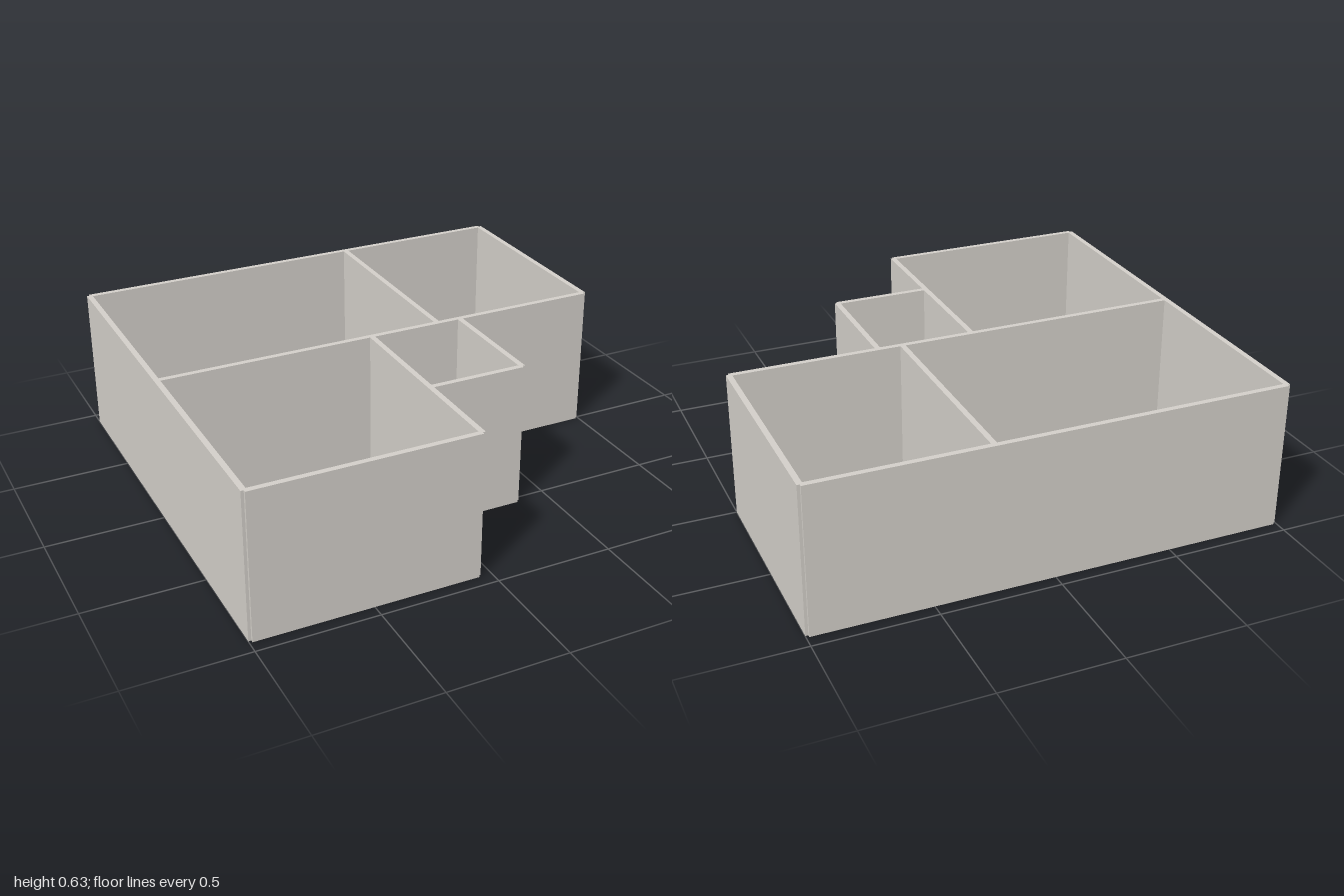
import * as THREE from 'three';

const HEIGHT = 0.627;
const WALL = 0.0235;
const FLOOR = 0.004;

// Wall centre lines of the plan
const X = { left: -0.988, hall: -0.055, divider: 0.257, porch: 0.361, right: 0.988 };
const Z = { back: -0.934, middle: 0, porch: 0.522, front: 0.934 };

function addBox(group, name, material, x0, x1, y0, y1, z0, z1) {
  const mesh = new THREE.Mesh(new THREE.BoxGeometry(x1 - x0, y1 - y0, z1 - z0), material);
  mesh.position.set((x0 + x1) / 2, (y0 + y1) / 2, (z0 + z1) / 2);
  mesh.name = name;
  group.add(mesh);
}

export function createModel() {
  const model = new THREE.Group();
  model.name = 'floorPlan';
  const h = WALL / 2;
  const wallMaterial = new THREE.MeshStandardMaterial({ color: 0xd3cfc9 });

  // Walls running along x; they end on the centre lines, leaving notched corners
  const wallsX = [
    ['backWall', X.left, X.right, Z.back],
    ['middleWall', X.left, X.right, Z.middle],
    ['smallRoomFrontWall', X.hall, X.porch, Z.porch],
    ['frontWall', X.left, X.hall, Z.front],
  ];
  for (const [name, x0, x1, z] of wallsX) {
    addBox(model, name, wallMaterial, x0, x1, 0, HEIGHT, z - h, z + h);
  }

  // Walls running along z
  const wallsZ = [
    ['outerLongWall', X.left, Z.back, Z.front],
    ['backRoomDivider', X.divider, Z.back, Z.middle],
    ['backRoomEndWall', X.right, Z.back, Z.middle],
    ['frontRoomSideWall', X.hall, Z.middle, Z.front],
    ['smallRoomSideWall', X.porch, Z.middle, Z.porch],
  ];
  for (const [name, x, z0, z1] of wallsZ) {
    addBox(model, name, wallMaterial, x - h, x + h, 0, HEIGHT, z0, z1);
  }

  // Room floors, fitted between the walls
  const floors = [
    ['largeRoomFloor', 0xa57c52, X.left, X.divider, Z.back, Z.middle],
    ['backRoomFloor', 0xb59e82, X.divider, X.right, Z.back, Z.middle],
    ['frontRoomFloor', 0x959b8f, X.left, X.hall, Z.middle, Z.front],
    ['smallRoomFloor', 0xad8e6e, X.hall, X.porch, Z.middle, Z.porch],
  ];
  for (const [name, color, x0, x1, z0, z1] of floors) {
    const material = new THREE.MeshStandardMaterial({ color });
    addBox(model, name, material, x0 + h, x1 - h, 0, FLOOR, z0 + h, z1 - h);
  }

  return model;
}
